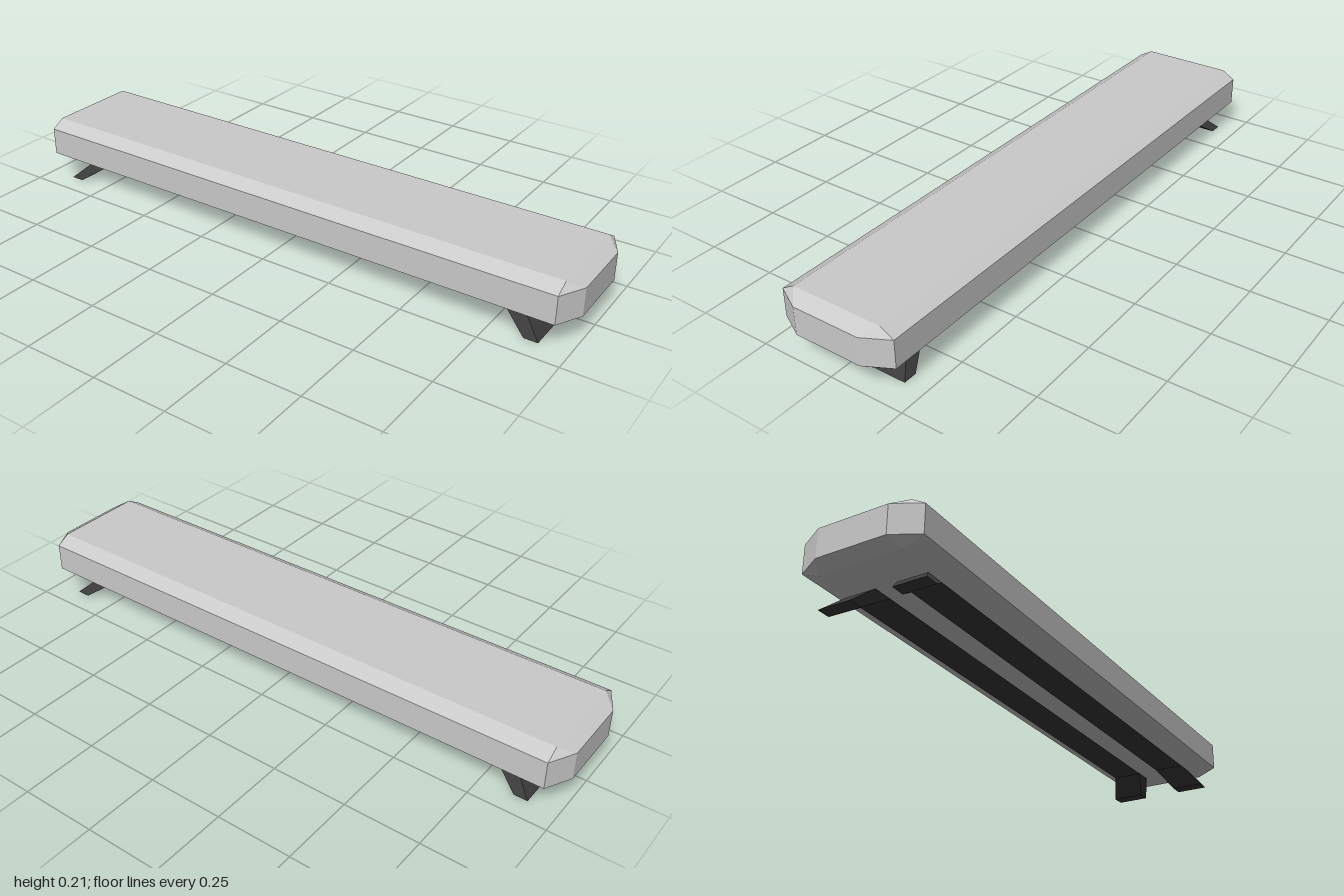
import * as THREE from 'three';
import { ConvexGeometry } from 'three/addons/geometries/ConvexGeometry.js';

export function createModel() {
  const shell = new THREE.MeshStandardMaterial({ color: 0xcacaca, flatShading: true });
  shell.name = 'light grey shell';
  const dark = new THREE.MeshStandardMaterial({ color: 0x3a3a3a, flatShading: true, side: THREE.DoubleSide });
  dark.name = 'dark mount';

  const group = new THREE.Group();
  group.name = 'lightBar';
  const signs = [-1, 1];
  const add = (geometry, material, name) => {
    const mesh = new THREE.Mesh(geometry, material);
    mesh.name = name;
    group.add(mesh);
    return mesh;
  };

  // Bar body: bevelled top and bottom plates around an eight-sided band
  const points = [];
  for (const sx of signs) for (const sz of signs) {
    const corner = (x, y, z) => points.push(new THREE.Vector3(sx * x, y, sz * z));
    corner(0.955, 0.21, 0.155);
    corner(0.955, 0.065, 0.137);
    for (const y of [0.091, 0.184]) {
      corner(0.955, y, 0.2);
      corner(1, y, 0.115);
    }
  }
  add(new ConvexGeometry(points), shell, 'body');

  for (const sz of signs) {
    // Flat strip under the body, joining the feet
    const strip = add(new THREE.PlaneGeometry(1.69, 0.102), dark, 'mountStrip');
    strip.rotation.x = Math.PI / 2;
    strip.position.set(0, 0.055, sz * 0.086);

    // Slanted feet splayed outwards
    for (const sx of signs) {
      const foot = [];
      for (const [y, x0, x1, z0, z1] of [
        [0.055, 0.78, 0.845, 0.035, 0.137],
        [0, 0.86, 0.905, 0.069, 0.178],
      ]) {
        for (const x of [x0, x1]) for (const z of [z0, z1]) {
          foot.push(new THREE.Vector3(sx * x, y, sz * z));
        }
      }
      add(new ConvexGeometry(foot), dark, 'foot');
    }
  }
  return group;
}
